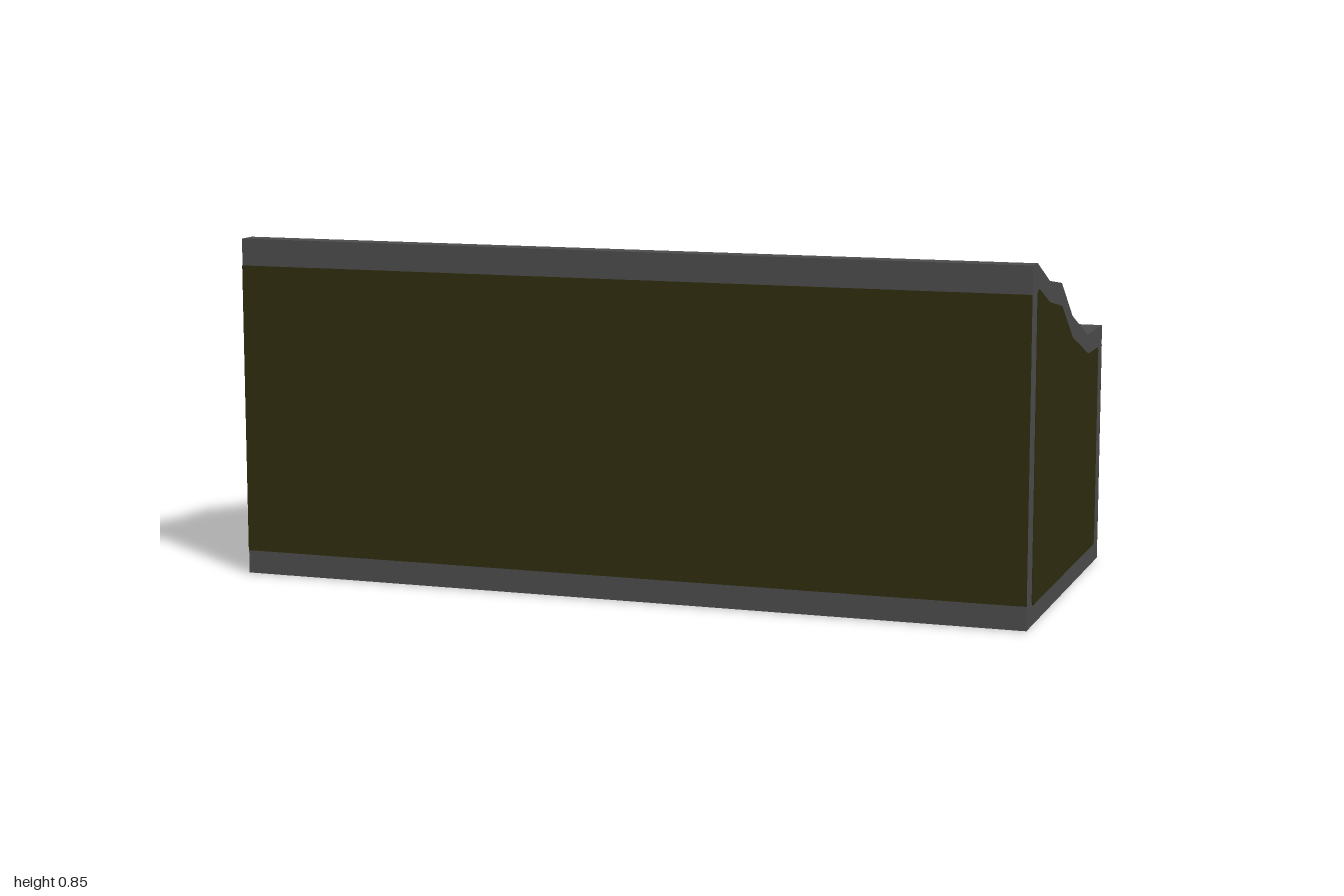
import * as THREE from 'three';

const T = 0.002; // thickness of the painted panels
const X = 0.998, Z = 0.438; // half size of the frame under the panels

// Outline points are [z, y]; the slab runs along x from x0 to x1
function slab(points, x0, x1) {
  const shape = new THREE.Shape(points.map(([z, y]) => new THREE.Vector2(z, y)));
  const geo = new THREE.ExtrudeGeometry(shape, { depth: x1 - x0, bevelEnabled: false });
  geo.rotateY(-Math.PI / 2);
  geo.translate(x1, 0, 0);
  return geo;
}

// Box given by its limits
function block(x0, x1, y0, y1, z0, z1) {
  const geo = new THREE.BoxGeometry(x1 - x0, y1 - y0, z1 - z0);
  geo.translate((x0 + x1) / 2, (y0 + y1) / 2, (z0 + z1) / 2);
  return geo;
}

export function createModel() {
  const group = new THREE.Group();
  const frame = new THREE.MeshStandardMaterial({ color: 0x4c4c4c });
  frame.name = 'grey frame';
  const panel = new THREE.MeshStandardMaterial({ color: 0x2f2c0e });
  panel.name = 'dark olive panel';
  const add = (name, geo, mat) => {
    const mesh = new THREE.Mesh(geo, mat);
    mesh.name = name;
    group.add(mesh);
  };

  // Stepped top line of the end walls, front to back
  const crest = [[0.385, 0.85], [0.245, 0.795], [0.1, 0.775], [-0.04, 0.68], [-0.24, 0.61]];
  const endOutline = [[-Z, T], [Z, T], [Z, 0.85], ...crest, [-Z, 0.61]];
  const endPanel = [
    [-0.375, 0.05], [0.375, 0.05], [0.384, 0.06], [0.384, 0.782], [0.372, 0.79], [0.245, 0.745],
    [0.1, 0.72], [-0.04, 0.627], [-0.25, 0.56], [-0.375, 0.56], [-0.382, 0.552], [-0.382, 0.06],
  ];
  const lining = [[-0.385, 0.5], [0.385, 0.5], ...crest.map(([z, y]) => [z, y - 0.004]), [-0.385, 0.606]];

  // End walls with outer panel and inner lining
  for (const s of [-1, 1]) {
    const side = s < 0 ? 'right' : 'left';
    const between = (pts, a, b) => slab(pts, Math.min(s * a, s * b), Math.max(s * a, s * b));
    add(side + 'EndWall', between(endOutline, 0.95, X), frame);
    add(side + 'EndPanel', between(endPanel, X, 1), panel);
    add(side + 'EndLining', between(lining, 0.95 - T, 0.95), panel);
  }

  // Long walls and their panels
  add('frontWall', block(-0.95, 0.95, T, 0.85, 0.385, Z), frame);
  add('backWall', block(-0.95, 0.95, T, 0.61, -Z, -0.385), frame);
  add('frontPanel', block(-X, X, 0.06, 0.783, Z, 0.44), panel);
  add('backPanel', block(-X, X, 0.05, 0.56, -0.44, -Z), panel);
  add('frontLining', block(-0.95, 0.95, 0.6, 0.805, 0.385 - T, 0.385), panel);
  add('backLining', block(-0.95, 0.95, 0.5, 0.582, -0.385, -0.385 + T), panel);

  // Stepped inner floor
  add('steppedFloor', slab([
    [-0.385, 0.05], [0.385, 0.05], [0.385, 0.645], [-0.04, 0.645], [-0.04, 0.545], [-0.385, 0.545],
  ], -0.95, 0.95), panel);

  // Base with a cut-corner panel underneath
  add('base', block(-0.95, 0.95, T, 0.05, -0.385, 0.385), frame);
  const bx = 0.94, bz = 0.385, c = 0.03;
  const corners = [
    [bx - c, -bz], [bx, c - bz], [bx, bz - c], [bx - c, bz],
    [c - bx, bz], [-bx, bz - c], [-bx, c - bz], [c - bx, -bz],
  ];
  const bottom = new THREE.ExtrudeGeometry(
    new THREE.Shape(corners.map(([x, z]) => new THREE.Vector2(x, z))),
    { depth: T, bevelEnabled: false });
  bottom.rotateX(-Math.PI / 2);
  add('bottomPanel', bottom, panel);

  return group;
}
